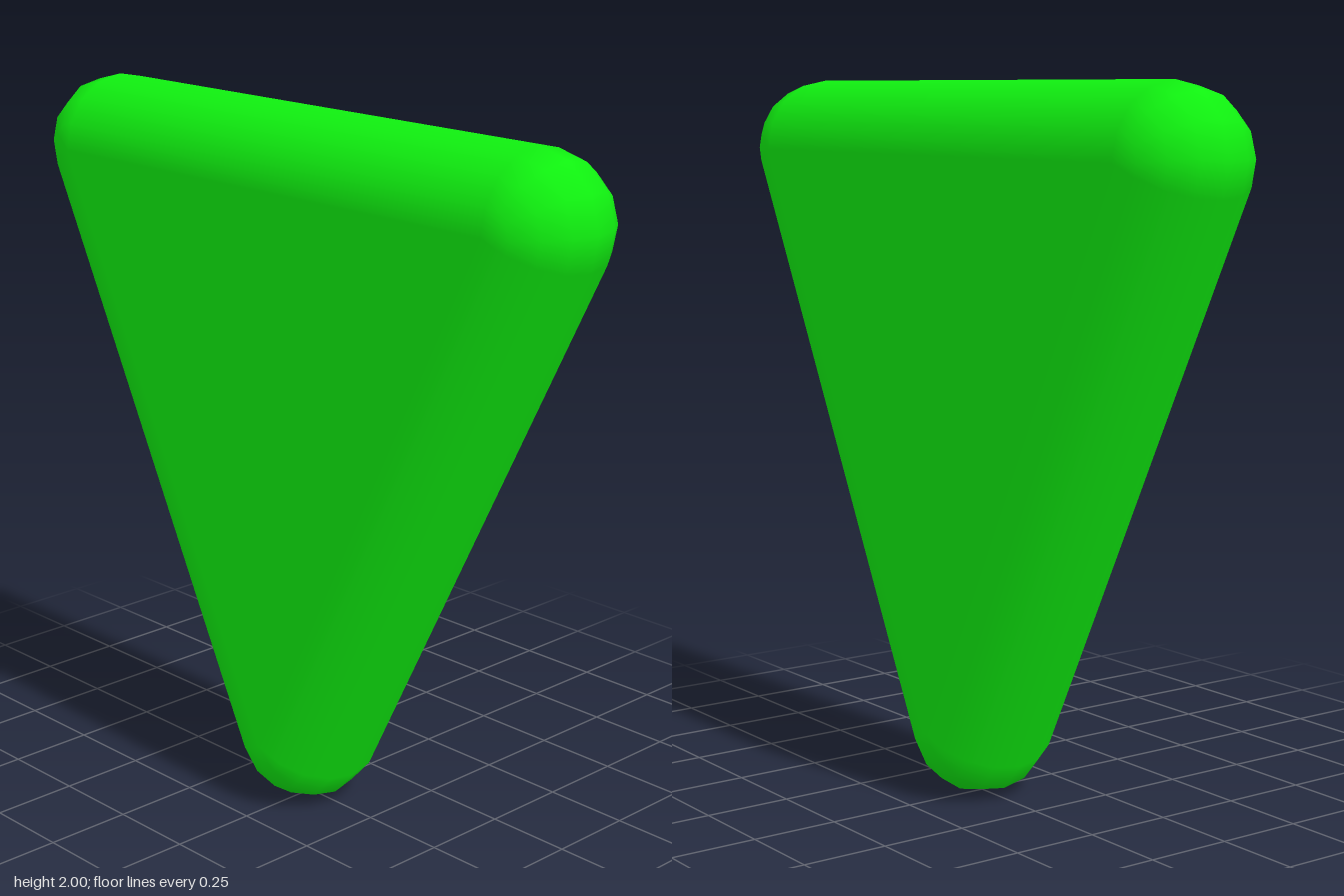
import * as THREE from 'three';

const RADIUS = 0.2;
const CORNER_STEPS = 4; // facets around each corner of the outline
const EDGE_STEPS = 8;   // facets across the rounded rim
const SLOPE = Math.atan2(0.8, 1.6);

// Corner centres in the z-y plane with the arc of outward directions each one sweeps
const CORNERS = [
  { z: 0.8, y: 1.8, from: Math.PI / 2, to: -SLOPE },
  { z: 0, y: 0.2, from: -SLOPE, to: SLOPE - Math.PI },
  { z: -0.8, y: 1.8, from: SLOPE - Math.PI, to: -1.5 * Math.PI },
];

// Triangle plate with a fully rounded rim, lofted from outline rings along x
function roundedTriangle() {
  const positions = [], normals = [], indices = [];
  const ringSize = CORNERS.length * (CORNER_STEPS + 1);

  for (let j = 0; j <= EDGE_STEPS; j++) {
    const tilt = (j / EDGE_STEPS - 0.5) * Math.PI;
    for (const c of CORNERS) {
      for (let i = 0; i <= CORNER_STEPS; i++) {
        const a = THREE.MathUtils.lerp(c.from, c.to, i / CORNER_STEPS);
        const nx = Math.sin(tilt);
        const ny = Math.cos(tilt) * Math.sin(a);
        const nz = Math.cos(tilt) * Math.cos(a);
        positions.push(nx * RADIUS, c.y + ny * RADIUS, c.z + nz * RADIUS);
        normals.push(nx, ny, nz);
      }
    }
  }

  // Rim
  for (let j = 0; j < EDGE_STEPS; j++) {
    for (let i = 0; i < ringSize; i++) {
      const next = (i + 1) % ringSize;
      const a = j * ringSize + i, b = j * ringSize + next;
      const c = a + ringSize, d = b + ringSize;
      indices.push(a, b, c, b, d, c);
    }
  }

  // Flat triangular faces on both sides
  const k = CORNER_STEPS + 1, last = EDGE_STEPS * ringSize;
  indices.push(0, 2 * k, k, last, last + k, last + 2 * k);

  const geometry = new THREE.BufferGeometry();
  geometry.setAttribute('position', new THREE.Float32BufferAttribute(positions, 3));
  geometry.setAttribute('normal', new THREE.Float32BufferAttribute(normals, 3));
  geometry.setIndex(indices);
  return geometry;
}

export function createModel() {
  const group = new THREE.Group();
  group.name = 'roundedTriangleMarker';
  const plate = new THREE.Mesh(
    roundedTriangle(),
    new THREE.MeshStandardMaterial({ color: 0x10f010 })
  );
  plate.name = 'trianglePlate';
  group.add(plate);
  return group;
}
